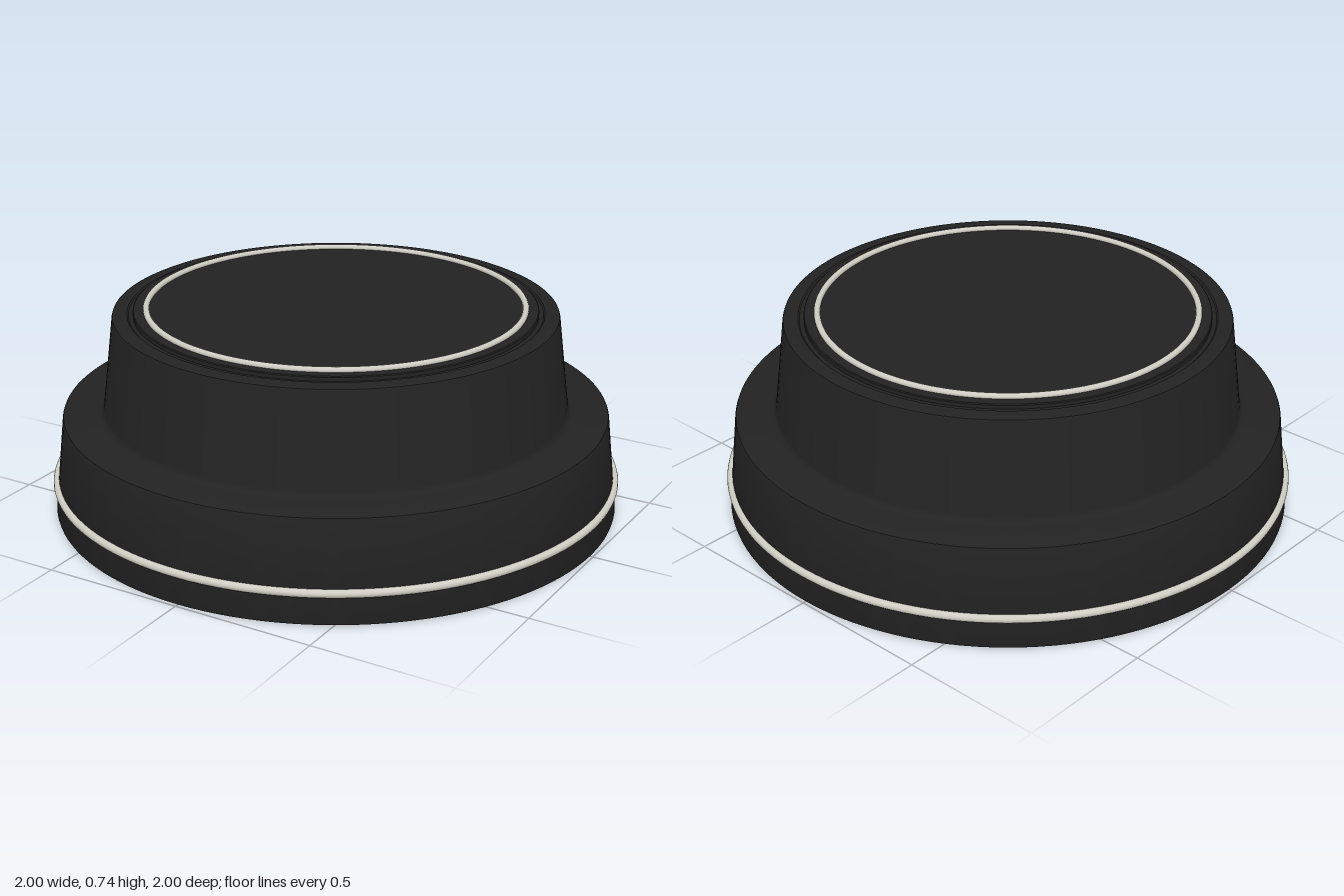
import * as THREE from 'three';
import { toCreasedNormals } from 'three/addons/utils/BufferGeometryUtils.js';

const SEGMENTS = 128;

export function createModel() {
  const group = new THREE.Group();
  group.name = 'steppedRoundBase';

  const black = new THREE.MeshStandardMaterial({ color: 0x222222 });
  black.name = 'black';
  const ivory = new THREE.MeshStandardMaterial({ color: 0xcfcec4 });
  ivory.name = 'ivory';

  const turned = (name, profile) => {
    const points = profile.map(([r, y]) => new THREE.Vector2(r, y));
    const geometry = toCreasedNormals(new THREE.LatheGeometry(points, SEGMENTS), 0.6);
    const mesh = new THREE.Mesh(geometry, black);
    mesh.name = name;
    group.add(mesh);
  };

  const ring = (name, radius, tube, y) => {
    const mesh = new THREE.Mesh(new THREE.TorusGeometry(radius, tube, 12, SEGMENTS), ivory);
    mesh.name = name;
    mesh.rotation.x = -Math.PI / 2;
    mesh.position.y = y;
    group.add(mesh);
  };

  // Stepped body: hollow underside, flared skirt, shoulder and tapered drum
  turned('body', [
    [0, 0.39], [0.78, 0.39], [0.8, 0],
    [0.985, 0], [0.991, 0.003], [0.993, 0.01],
    [0.956, 0.343], [0.953, 0.351], [0.945, 0.355],
    [0.835, 0.355], [0.824, 0.358], [0.816, 0.365], [0.812, 0.377],
    [0.773, 0.695], [0.77, 0.704], [0.76, 0.709],
    [0.72, 0.709], [0.715, 0.704], [0, 0.704],
  ]);

  // Raised disc on top
  turned('topDisc', [[0.7, 0.704], [0.7, 0.717], [0.697, 0.72], [0, 0.72]]);

  // Pale trim rings
  ring('topRing', 0.654, 0.011, 0.724);
  ring('skirtRing', 0.986, 0.014, 0.11);

  return group;
}
